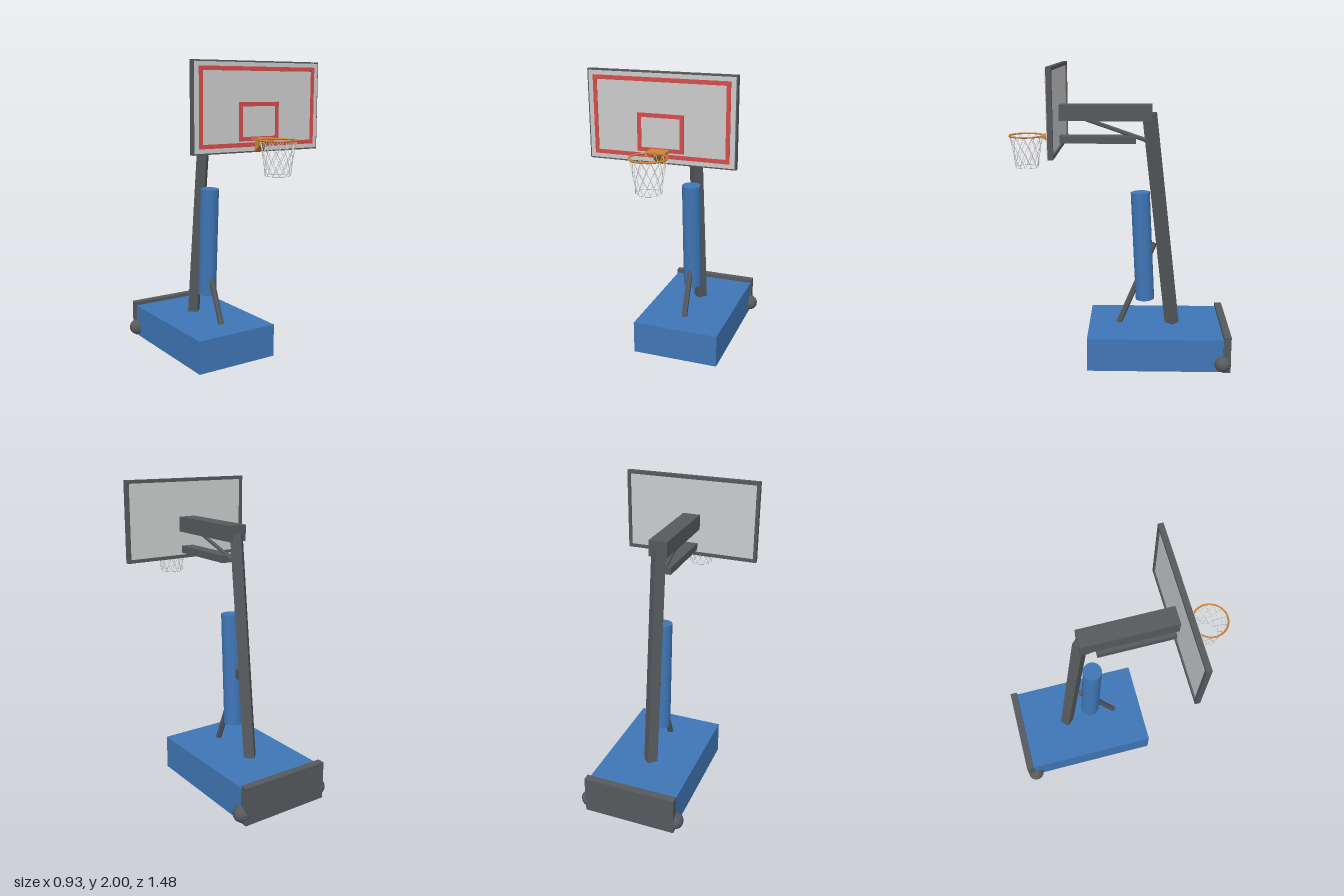
import * as THREE from 'three';

const mat = (name, color, extra = {}) => {
  const m = new THREE.MeshStandardMaterial({ color, flatShading: true, ...extra });
  m.name = name;
  return m;
};

export function createModel() {
  const blue = mat('blue', 0x3f76b6);
  const steel = mat('dark steel', 0x565a5d);
  const pale = mat('pale board', 0xcbcccd);
  const red = mat('red lines', 0xd64c4a);
  const orange = mat('orange', 0xd08436);
  const cord = mat('net cord', 0xd0d0d0);

  const root = new THREE.Group();
  const add = (name, geometry, material, x = 0, y = 0, z = 0, parent = root) => {
    const m = new THREE.Mesh(geometry, material);
    m.name = name;
    m.position.set(x, y, z);
    parent.add(m);
    return m;
  };
  // Box given by its limits on each axis
  const box = (name, material, [x0, x1], [y0, y1], [z0, z1], parent) =>
    add(name, new THREE.BoxGeometry(x1 - x0, y1 - y0, z1 - z0), material,
      (x0 + x1) / 2, (y0 + y1) / 2, (z0 + z1) / 2, parent);
  // Straight bar between two points
  const bar = (name, material, a, b, r, sides, parent) => {
    const p = new THREE.Vector3(...a), q = new THREE.Vector3(...b);
    const d = q.clone().sub(p);
    const m = add(name, new THREE.CylinderGeometry(r, r, d.length(), sides), material, 0, 0, 0, parent);
    m.position.copy(p).add(q).multiplyScalar(0.5);
    m.quaternion.setFromUnitVectors(new THREE.Vector3(0, 1, 0), d.normalize());
    return m;
  };
  // Rectangular frame with a rectangular hole
  const frame = (name, material, w, y0, y1, t, z, depth) => {
    const s = new THREE.Shape();
    s.moveTo(-w, y0).lineTo(w, y0).lineTo(w, y1).lineTo(-w, y1).closePath();
    const h = new THREE.Path();
    h.moveTo(-w + t, y0 + t).lineTo(-w + t, y1 - t).lineTo(w - t, y1 - t).lineTo(w - t, y0 + t).closePath();
    s.holes.push(h);
    return add(name, new THREE.ExtrudeGeometry(s, { depth, bevelEnabled: false }), material, 0, 0, z);
  };

  // Weighted base with rear plate and wheels
  box('base', blue, [-0.302, 0.302], [0, 0.228], [-0.69, 0.218]);
  box('rearPlate', steel, [-0.31, 0.31], [0, 0.253], [-0.737, -0.688]);
  for (const [side, name] of [[1, 'leftWheel'], [-1, 'rightWheel']]) {
    const ball = new THREE.SphereGeometry(0.057, 14, 8).rotateZ(Math.PI / 2);
    add(name, ball, steel, side * 0.302, 0.062, -0.685);
  }

  // Leaning pole, padding and strut
  bar('pole', steel, [0, 0.225, -0.357], [0, 1.688, -0.187], 0.049, 4);
  bar('polePadding', blue, [0, 0.405, -0.168], [0, 1.16, -0.13], 0.064, 16);
  bar('frontStrut', steel, [0, 0.225, 0.012], [0, 0.805, -0.228], 0.02, 6);

  // Arms carrying the board
  box('upperArm', steel, [-0.06, 0.06], [1.64, 1.742], [-0.205, 0.4]);
  box('lowerArm', steel, [-0.045, 0.045], [1.492, 1.54], [-0.1, 0.4]);
  bar('armBrace', steel, [0, 1.645, 0.225], [0, 1.507, -0.175], 0.014, 6);

  // Backboard with painted lines
  frame('boardFrame', steel, 0.465, 1.455, 2, 0.022, 0.392, 0.033);
  box('boardPanel', pale, [-0.456, 0.456], [1.464, 1.991], [0.402, 0.43]);
  frame('outerLine', red, 0.427, 1.49, 1.966, 0.025, 0.43, 0.004);
  frame('innerLine', red, 0.147, 1.525, 1.757, 0.025, 0.43, 0.004);

  // Rim with plate and gusset
  const hoop = new THREE.Group();
  hoop.name = 'hoop';
  root.add(hoop);
  const rimZ = 0.623, rimY = 1.538;
  add('rim', new THREE.TorusGeometry(0.111, 0.006, 6, 32).rotateX(Math.PI / 2), orange, 0, rimY, rimZ, hoop);
  box('rimPlate', orange, [-0.06, 0.06], [1.53, 1.545], [0.43, 0.518], hoop);
  const tri = new THREE.Shape();
  tri.moveTo(-0.43, 1.458).lineTo(-0.43, 1.532).lineTo(-0.518, 1.532).closePath();
  add('rimGusset', new THREE.ExtrudeGeometry(tri, { depth: 0.06, bevelEnabled: false })
    .translate(0, 0, -0.03).rotateY(Math.PI / 2), orange, 0, 0, 0, hoop);

  // Net: cords winding both ways down a taper, with a ring at the bottom
  const net = new THREE.Group();
  net.name = 'net';
  hoop.add(net);
  const levels = [[0.109, 1.535], [0.098, 1.48], [0.089, 1.43], [0.082, 1.38], [0.077, 1.33]];
  const count = 12;
  for (let i = 0; i < count; i++) {
    for (const dir of [1, -1]) {
      const at = (k) => {
        const a = ((i + dir * k / 2) / count) * Math.PI * 2;
        return [Math.sin(a) * levels[k][0], levels[k][1], rimZ + Math.cos(a) * levels[k][0]];
      };
      for (let k = 0; k < levels.length - 1; k++) bar('netCord', cord, at(k), at(k + 1), 0.002, 4, net);
    }
  }
  add('netRing', new THREE.TorusGeometry(0.077, 0.002, 4, 24).rotateX(Math.PI / 2), cord, 0, 1.33, rimZ, net);

  return root;
}
